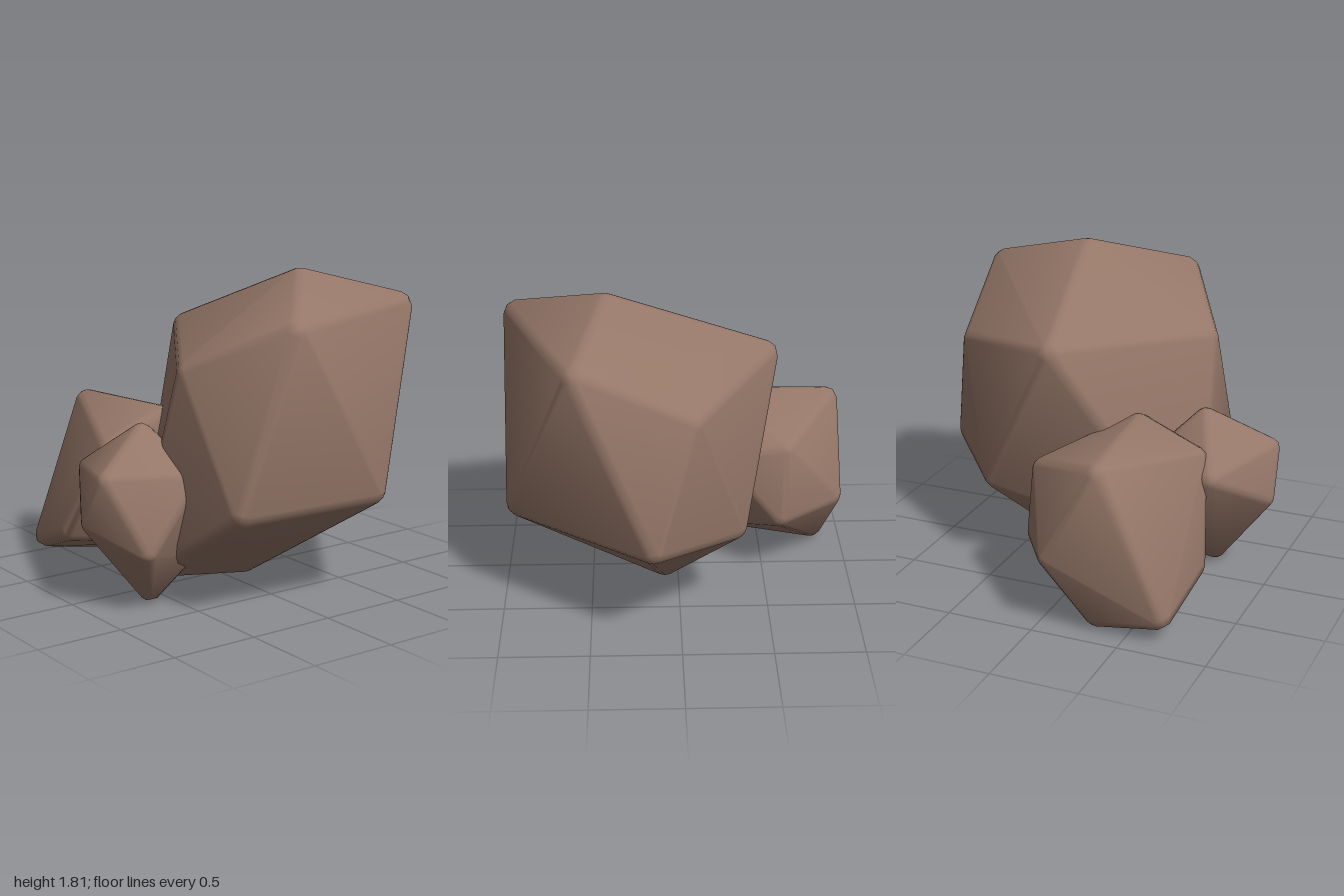
import * as THREE from 'three';
import { ConvexGeometry } from 'three/addons/geometries/ConvexGeometry.js';

const stone = new THREE.MeshStandardMaterial({ color: 0x957768 });
stone.name = 'brown stone';

// Convex boulder through the given corners, with edges and corners rounded by radius r
function roundedBoulder(corners, r) {
  const tips = corners.map((c) => new THREE.Vector3(...c));
  const centre = tips.reduce((s, p) => s.add(p), new THREE.Vector3()).divideScalar(tips.length);
  const core = tips.map((p) => p.clone().addScaledVector(p.clone().sub(centre).normalize(), -r));
  const nearest = (p, list) => {
    let best = 0;
    list.forEach((q, i) => { if (q.distanceToSquared(p) < list[best].distanceToSquared(p)) best = i; });
    return best;
  };

  // Facets around every corner of the inner hull
  const hull = new ConvexGeometry(core).getAttribute('position');
  const fans = core.map(() => []);
  const tri = new THREE.Triangle();
  for (let i = 0; i < hull.count; i += 3) {
    tri.setFromAttributeAndIndices(hull, i, i + 1, i + 2);
    const normal = tri.getNormal(new THREE.Vector3());
    const ids = [tri.a, tri.b, tri.c].map((p) => nearest(p, core));
    ids.forEach((id) => fans[id].push({ normal, ids }));
  }

  // Points on each rounded corner: one per facet, one per edge and one tip
  const points = [], normals = [];
  fans.forEach((fan, id) => {
    if (!fan.length) return;
    const mean = fan.reduce((s, f) => s.add(f.normal), new THREE.Vector3()).normalize();
    const add = (dir, blend) => {
      points.push(core[id].clone().addScaledVector(dir, r));
      normals.push(dir.clone().lerp(mean, blend).normalize());
    };
    add(mean, 0);
    fan.forEach((f, i) => {
      add(f.normal, 0.25);
      fan.slice(i + 1).forEach((g) => {
        if (f.ids.filter((k) => g.ids.includes(k)).length === 2) {
          add(f.normal.clone().add(g.normal).normalize(), 0.1);
        }
      });
    });
  });

  // Outer hull, shaded with the smooth normals of the rounding
  const geometry = new ConvexGeometry(points);
  const pos = geometry.getAttribute('position');
  const nor = geometry.getAttribute('normal');
  const p = new THREE.Vector3();
  for (let i = 0; i < pos.count; i++) {
    const n = normals[nearest(p.fromBufferAttribute(pos, i), points)];
    nor.setXYZ(i, n.x, n.y, n.z);
  }
  return geometry;
}

const boulders = {
  largeBoulder: {
    radius: 0.08,
    corners: [
      [0.27, 1.81, 0.41], [-0.2, 1.59, 0.955], [0.41, 0.59, 0.955], [-0.49, 0.58, 0.85],
      [0.925, 1.62, 0.57], [0.995, 0.58, 0.14], [0.835, 1.3, -0.08], [0.1, 1.43, -0.545],
      [0.57, 0.5, -0.35], [-0.54, 1.33, 0.41], [0.11, 0, 0.06], [-0.57, 0.1, 0.03],
    ],
  },
  backBoulder: {
    radius: 0.07,
    corners: [
      [-0.72, 0.1, -0.87], [-0.32, 0.02, -0.86], [-0.35, 0.97, -0.935], [-0.04, 0.4, -0.96],
      [0.14, 0.82, -0.62], [0.195, 0.37, -0.6], [-0.22, 0.19, -0.16], [-0.3, 0.99, -0.13],
      [-0.67, 0.83, -0.14], [-0.785, 0.25, -0.44], [0.1, 0.77, -0.25],
    ],
  },
  sideBoulder: {
    radius: 0.06,
    corners: [
      [-0.97, 0.77, 0.28], [-1.0, 0.48, 0.13], [-0.59, 0.99, 0.09], [-0.63, 0.01, 0.23],
      [-0.75, 0.72, -0.28], [-0.79, 0.33, 0.455], [-0.45, 0.75, 0.44], [-0.33, 0.2, 0.21],
      [-0.3, 0.7, -0.1], [-0.4, 0.25, -0.15],
    ],
  },
};

export function createModel() {
  const group = new THREE.Group();
  group.name = 'boulderCluster';
  for (const [name, { corners, radius }] of Object.entries(boulders)) {
    const mesh = new THREE.Mesh(roundedBoulder(corners, radius), stone);
    mesh.name = name;
    group.add(mesh);
  }
  return group;
}
